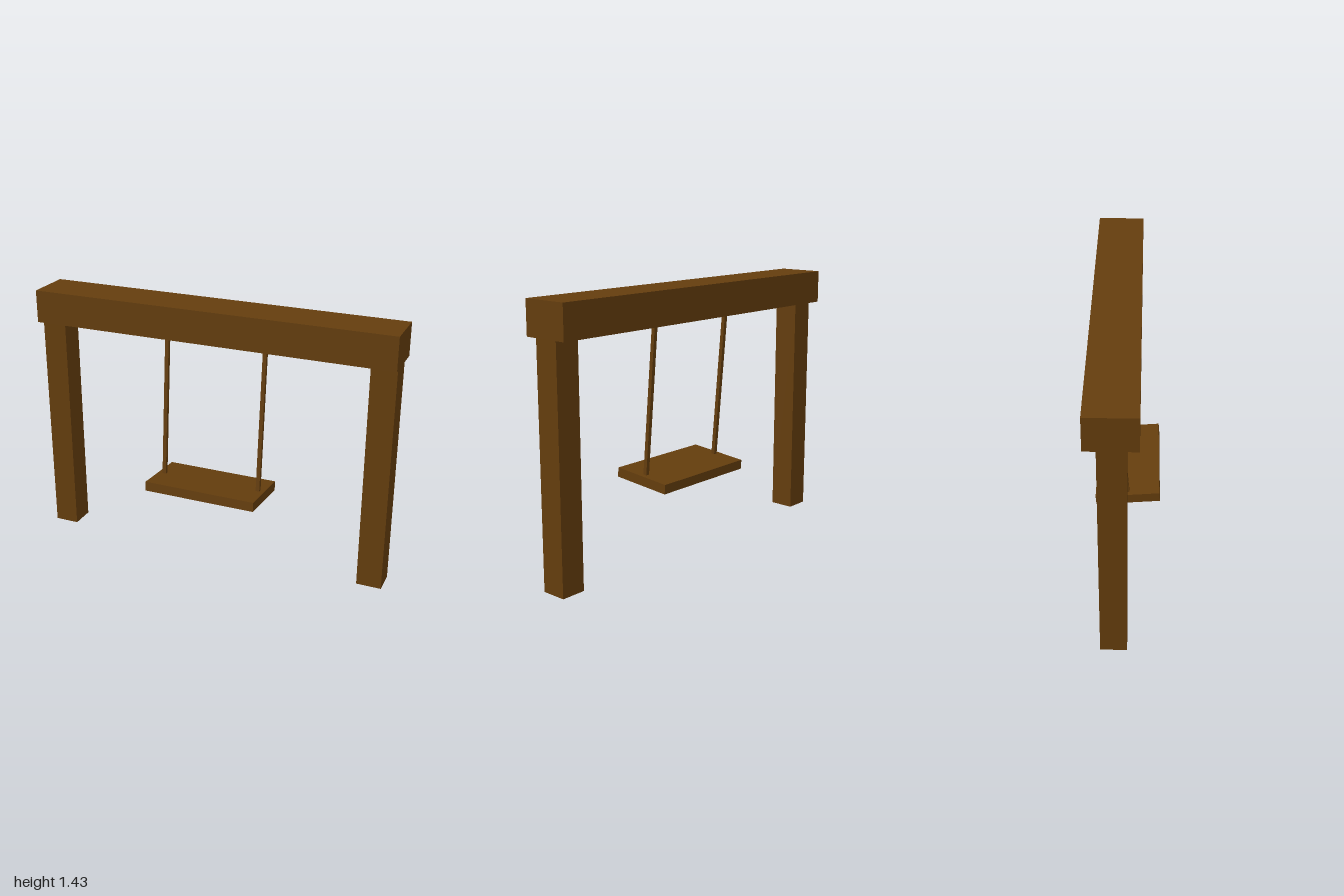
import * as THREE from 'three';

export function createModel() {
  const swing = new THREE.Group();
  swing.name = 'swing';
  const wood = new THREE.MeshStandardMaterial({ color: 0x643d0d, flatShading: true });

  const addBox = (parent, name, size, position) => {
    const mesh = new THREE.Mesh(new THREE.BoxGeometry(...size), wood);
    mesh.name = name;
    mesh.position.set(...position);
    parent.add(mesh);
    return mesh;
  };

  // Frame: a wide beam resting on two square posts
  addBox(swing, 'topBeam', [2, 0.178, 0.253], [0, 1.338, -0.053]);
  addBox(swing, 'rightPost', [0.135, 1.26, 0.135], [-0.931, 0.63, -0.05]);
  addBox(swing, 'leftPost', [0.135, 1.26, 0.135], [0.925, 0.63, -0.05]);

  // Hanging part, tilted as one piece in mid-swing
  const hanging = new THREE.Group();
  hanging.name = 'hangingSeat';
  hanging.position.set(0.002, 0.412, 0.008);
  hanging.rotation.x = -0.085;
  swing.add(hanging);

  addBox(hanging, 'seat', [0.632, 0.052, 0.34], [0, 0, 0]);
  for (const [name, side] of [['rightRope', -1], ['leftRope', 1]]) {
    addBox(hanging, name, [0.021, 0.86, 0.021], [side * 0.279, 0.43, 0]);
  }

  return swing;
}
